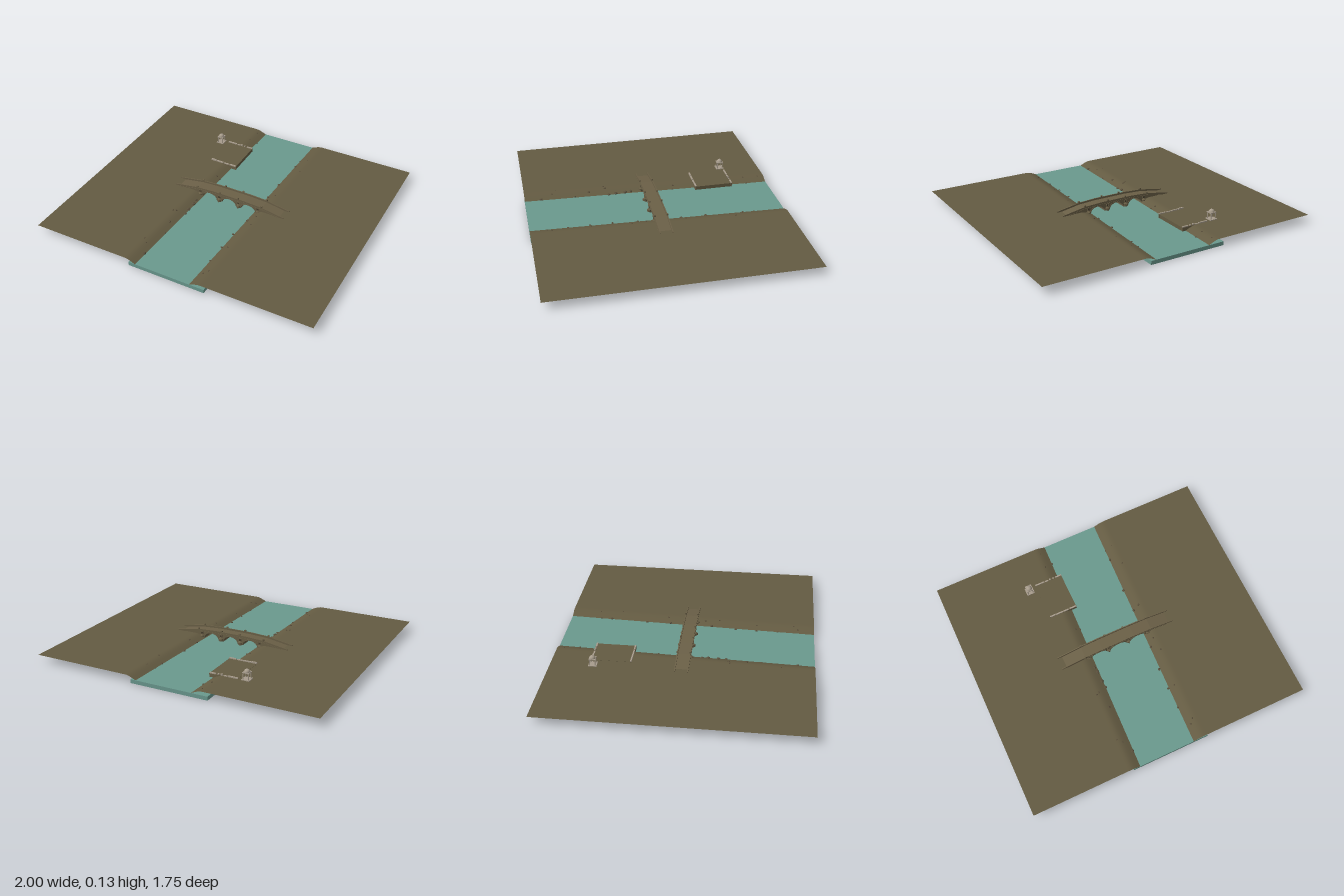
import * as THREE from 'three';

const mat = (name, color) => {
  const m = new THREE.MeshStandardMaterial({ color });
  m.name = name;
  return m;
};

export function createModel() {
  const root = new THREE.Group();
  root.name = 'riverBridgeScene';
  const earth = mat('earth', 0x645b42);
  earth.side = THREE.DoubleSide;
  const water = mat('water', 0x6a998e);
  const stone = mat('bridgeStone', 0x6b6047);
  const marble = mat('paleStone', 0xa79c8c);
  const rock = mat('rock', 0x5a4f3c);
  const shade = mat('nicheShade', 0x463d2d);

  const add = (parent, name, geo, m, x = 0, y = 0, z = 0) => {
    const mesh = new THREE.Mesh(geo, m);
    mesh.name = name;
    mesh.position.set(x, y, z);
    parent.add(mesh);
    return mesh;
  };
  const box = (parent, name, m, w, h, d, x, y, z) =>
    add(parent, name, new THREE.BoxGeometry(w, h, d), m, x, y + h / 2, z);
  const group = (name) => {
    const g = new THREE.Group();
    g.name = name;
    root.add(g);
    return g;
  };

  // Ground sheet, dipping along the slightly slanted river bed
  const centre = (z) => -0.038 * z;
  const groundY = (x, z) => {
    const d = Math.abs(x - centre(z));
    return 0.018 + 0.038 * THREE.MathUtils.smoothstep(d, 0.15, 0.275);
  };
  const ground = new THREE.PlaneGeometry(2, 1.75, 120, 60).rotateX(-Math.PI / 2);
  const p = ground.attributes.position;
  for (let i = 0; i < p.count; i++) p.setY(i, groundY(p.getX(i), p.getZ(i)));
  ground.computeVertexNormals();
  add(root, 'ground', ground, earth);
  box(root, 'river', water, 0.55, 0.026, 1.75, -0.005, 0.005, 0);

  // Bridge body: rising roadway above three arches
  const bridge = group('bridge');
  const road = [[-0.43, 0.05], [-0.25, 0.08], [-0.12, 0.087], [0.12, 0.087], [0.25, 0.08], [0.42, 0.05]];
  const body = new THREE.Shape();
  body.moveTo(-0.43, 0.043);
  body.lineTo(-0.26, 0.043);
  body.lineTo(-0.24, 0.003);
  for (const cx of [-0.15, 0, 0.15]) {
    const r = 0.055;
    body.lineTo(cx - r, 0.003);
    body.lineTo(cx - r, 0.034);
    body.absellipse(cx, 0.034, r, 0.04, Math.PI, 0, true);
    body.lineTo(cx + r, 0.003);
  }
  body.lineTo(0.24, 0.003);
  body.lineTo(0.26, 0.043);
  body.lineTo(0.42, 0.043);
  for (const [x, y] of [...road].reverse()) body.lineTo(x, y);
  body.closePath();
  const extrude = (shape, depth) =>
    new THREE.ExtrudeGeometry(shape, { depth, bevelEnabled: false, curveSegments: 16 }).translate(0, 0, -depth / 2);
  add(bridge, 'archedBody', extrude(body, 0.086), stone);

  // Parapets following the roadway, with a projecting cornice
  const strip = (lo, hi) => {
    const s = new THREE.Shape();
    road.forEach(([x, y], i) => (i ? s.lineTo(x, y + lo) : s.moveTo(x, y + lo)));
    [...road].reverse().forEach(([x, y]) => s.lineTo(x, y + hi));
    s.closePath();
    return s;
  };
  for (const side of [-1, 1]) {
    add(bridge, 'parapet', extrude(strip(-0.002, 0.012), 0.007), stone, 0, 0, side * 0.043);
    add(bridge, 'cornice', extrude(strip(-0.004, 0), 0.008), stone, 0, 0, side * 0.045);
    for (const x of [-0.25, -0.07, 0.07, 0.25]) {
      const y = Math.abs(x) > 0.1 ? 0.09 : 0.097;
      box(bridge, 'parapetPost', stone, 0.011, 0.012, 0.011, x, y, side * 0.043);
    }
    for (const x of [-0.225, -0.075, 0.075, 0.225]) {
      // Pointed cutwater and shallow framed niche on each pier
      const cut = new THREE.CylinderGeometry(0.018, 0.018, 0.045, 4);
      add(bridge, 'cutwater', cut, stone, x, 0.0255, side * 0.043);
      add(bridge, 'cutwaterCap', new THREE.ConeGeometry(0.018, 0.012, 4), stone, x, 0.054, side * 0.043);
      box(bridge, 'niche', shade, 0.013, 0.014, 0.003, x, 0.06, side * 0.044);
      box(bridge, 'nicheLintel', stone, 0.021, 0.003, 0.007, x, 0.074, side * 0.045);
      for (const k of [-1, 1]) box(bridge, 'nichePillar', stone, 0.003, 0.016, 0.006, x + k * 0.008, 0.059, side * 0.045);
    }
    // Voussoir rings round the arches
    for (const cx of [-0.15, 0, 0.15]) {
      const ring = new THREE.Shape();
      ring.absellipse(cx, 0.034, 0.062, 0.046, 0, Math.PI, false);
      ring.absellipse(cx, 0.034, 0.055, 0.04, Math.PI, 0, true);
      add(bridge, 'archRing', extrude(ring, 0.004), stone, 0, 0, side * 0.044);
    }
  }

  // Quay reaching into the river, edged by broken low walls
  const quay = group('quay');
  box(quay, 'quayBlock', earth, 0.2, 0.054, 0.26, -0.25, 0.003, -0.475);
  const walls = [
    [-0.61, [[-0.315, 0.07, 0.008], [-0.262, 0.025, 0.005], [-0.236, 0.012, 0.012], [-0.212, 0.008, 0.009], [-0.172, 0.045, 0.007]]],
    [-0.345, [[-0.33, 0.04, 0.011], [-0.28, 0.055, 0.008], [-0.228, 0.04, 0.006], [-0.175, 0.05, 0.008]]],
  ];
  for (const [z, parts] of walls) {
    box(quay, 'wallFooting', stone, 0.205, 0.055, 0.008, -0.2505, 0.003, z);
    for (const [x, w, h] of parts) box(quay, 'brokenWall', marble, w, h, 0.01, x, 0.056, z);
  }

  // Small domed pavilion
  const pavilion = group('pavilion');
  pavilion.position.set(-0.402, 0.055, -0.59);
  box(pavilion, 'plinth', marble, 0.056, 0.006, 0.056, 0, 0, 0);
  for (const x of [-0.018, 0.018]) for (const z of [-0.018, 0.018])
    add(pavilion, 'column', new THREE.CylinderGeometry(0.003, 0.0035, 0.042, 8), marble, x, 0.027, z);
  box(pavilion, 'entablature', marble, 0.046, 0.006, 0.046, 0, 0.047, 0);
  add(pavilion, 'dome', new THREE.SphereGeometry(0.02, 16, 8, 0, Math.PI * 2, 0, Math.PI / 2), marble, 0, 0.052, 0);
  add(pavilion, 'finial', new THREE.SphereGeometry(0.003, 8, 6), marble, 0, 0.075, 0);

  // Boulders on both banks: x, z, radius
  const rocks = group('boulders');
  const spots = [
    [-0.17, -0.73, 0.008], [-0.22, -0.83, 0.005], [-0.225, -0.72, 0.006], [-0.225, -0.19, 0.008],
    [-0.195, -0.18, 0.007], [-0.22, 0.12, 0.011], [-0.215, 0.16, 0.014], [-0.215, 0.23, 0.014],
    [-0.21, 0.28, 0.011], [-0.29, 0.31, 0.007], [-0.27, 0.3, 0.008], [-0.25, 0.42, 0.01],
    [-0.225, 0.52, 0.007], [-0.3, 0.65, 0.005], [-0.27, 0.68, 0.006], [-0.235, 0.76, 0.012],
    [0.225, -0.58, 0.01], [0.225, -0.66, 0.006], [0.28, -0.67, 0.004], [0.29, -0.51, 0.006],
    [0.21, -0.32, 0.011], [0.21, -0.15, 0.01], [0.255, -0.17, 0.008], [0.24, 0.1, 0.007],
    [0.2, 0.15, 0.01], [0.25, 0.2, 0.006], [0.18, 0.32, 0.01], [0.175, 0.47, 0.009],
    [0.22, 0.47, 0.006], [0.175, 0.62, 0.008], [0.225, 0.73, 0.006], [0.2, 0.76, 0.007],
  ];
  spots.forEach(([x, z, r], i) => {
    const b = add(rocks, 'boulder', new THREE.DodecahedronGeometry(r, 0), rock, x, Math.max(groundY(x, z), 0.03), z);
    b.scale.y = 0.7;
    b.rotation.y = i * 1.7;
  });
  return root;
}
